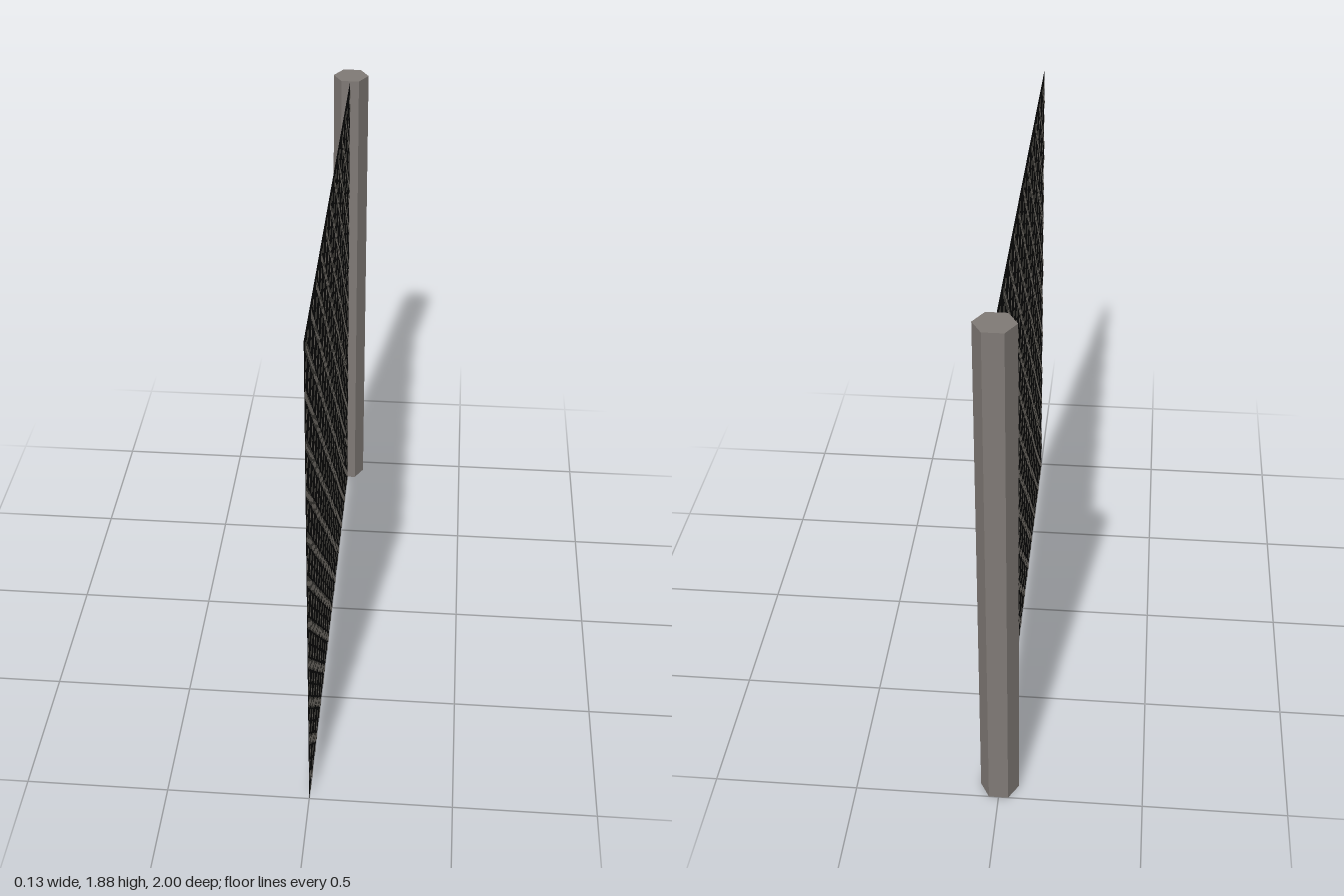
import * as THREE from 'three';
import { mergeGeometries } from 'three/addons/utils/BufferGeometryUtils.js';

const SIZE = 1.88;        // height and width of the panel
const CELLS = 64;         // fine grid the lattice is laid out on
const PITCH = 6;          // grid cells between crossings
const CELL = SIZE / CELLS;
const Z_FRONT = 1;

// One side of the lattice: small eight-sided beads along both diagonals
function latticeSide(side) {
  const beads = [];
  for (let row = 1; row < CELLS; row++) {
    for (let col = 0; col < CELLS; col++) {
      const rising = (row + col - 4 + PITCH) % PITCH === 0;
      const falling = (row - col + CELLS * PITCH) % PITCH === 0;
      if (!rising && !falling) continue;
      const radius = CELL * (rising && falling ? 0.6 : 0.66);
      const bead = new THREE.CircleGeometry(radius, 8, Math.PI / 8);
      bead.rotateY(side * Math.PI / 2);
      bead.translate(side * 0.002, SIZE - (row + 0.5) * CELL, Z_FRONT - (col + 0.5) * CELL);
      beads.push(bead);
    }
  }
  const geometry = mergeGeometries(beads);
  // Trim beads to the panel outline
  const p = geometry.attributes.position;
  for (let i = 0; i < p.count; i++) {
    p.setY(i, THREE.MathUtils.clamp(p.getY(i), 0, SIZE));
    p.setZ(i, THREE.MathUtils.clamp(p.getZ(i), Z_FRONT - SIZE, Z_FRONT));
  }
  return geometry;
}

export function createModel() {
  const group = new THREE.Group();
  const postGrey = new THREE.MeshStandardMaterial({ name: 'post grey', color: 0x807a76, flatShading: true });
  const wireGrey = new THREE.MeshStandardMaterial({ name: 'wire grey', color: 0x858078 });
  const black = new THREE.MeshStandardMaterial({ name: 'panel black', color: 0x0c0c0c, side: THREE.DoubleSide });

  const add = (name, geometry, material) => {
    const mesh = new THREE.Mesh(geometry, material);
    mesh.name = name;
    group.add(mesh);
    return mesh;
  };

  // Hexagonal post at the back end, corners pointing sideways
  add('post', new THREE.CylinderGeometry(0.067, 0.067, SIZE, 6, 1, false, Math.PI / 2), postGrey)
    .position.set(0, SIZE / 2, -0.942);

  // Flat black panel
  const panel = add('panel', new THREE.PlaneGeometry(SIZE, SIZE), black);
  panel.rotation.y = Math.PI / 2;
  panel.position.set(0, SIZE / 2, Z_FRONT - SIZE / 2);

  // Grey diagonal lattice on both faces
  add('leftLattice', latticeSide(1), wireGrey);
  add('rightLattice', latticeSide(-1), wireGrey);

  return group;
}
